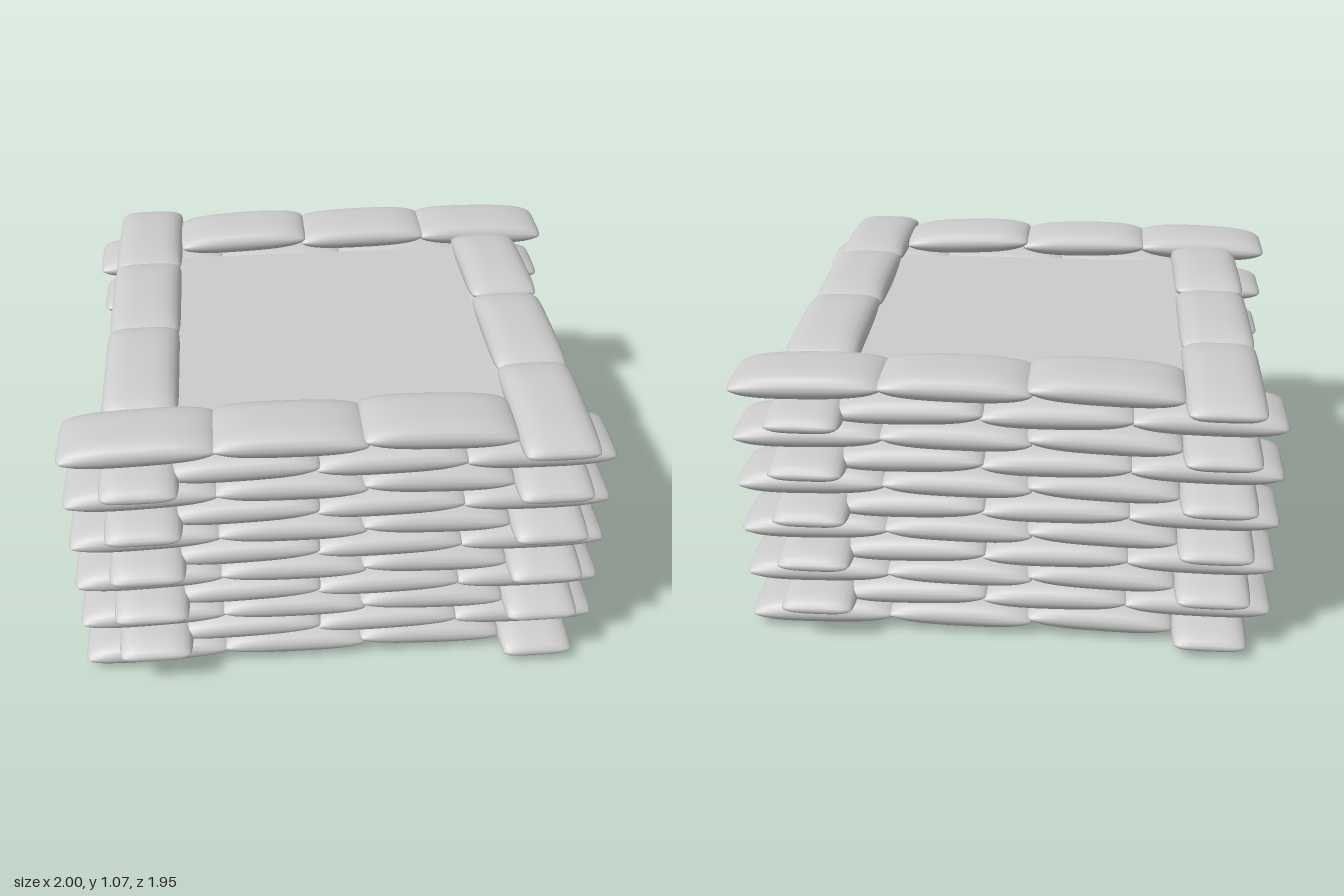
import * as THREE from 'three';
import { mergeGeometries, mergeVertices } from 'three/addons/utils/BufferGeometryUtils.js';

const LENGTH = 0.55, WIDTH = 0.275, THICK = 0.112, PITCH = 0.522;

// One half of the pillow: a grid bulged upward, with rounded corners in plan
function halfBag(sign) {
  const g = new THREE.PlaneGeometry(2, 2, 18, 12);
  g.rotateX(-sign * Math.PI / 2);
  g.deleteAttribute('uv');
  g.deleteAttribute('normal');
  const p = g.attributes.position;
  for (let i = 0; i < p.count; i++) {
    // denser spacing towards the rim
    const u = Math.sin(p.getX(i) * Math.PI / 2), v = Math.sin(p.getZ(i) * Math.PI / 2);
    const bulge = Math.sqrt(Math.max(0, 1 - Math.abs(u) ** 2.9) * Math.max(0, 1 - Math.abs(v) ** 3.6));
    p.setXYZ(i,
      u * (1 - 0.045 * v ** 8) * LENGTH / 2,
      sign * bulge * THICK / 2,
      v * (1 - 0.07 * u ** 8) * WIDTH / 2);
  }
  return g;
}

function bagGeometry() {
  const g = mergeVertices(mergeGeometries([halfBag(1), halfBag(-1)]), 1e-4);
  g.computeVertexNormals();
  return g;
}

// Each run: start point of the wall and heading (rotation about y)
const RUNS_EVEN = [
  { name: 'frontWall', x: -1.0, z: 0.74, turn: 0 },
  { name: 'rightWall', x: 0.72, z: 0.972, turn: Math.PI / 2 },
  { name: 'backWall', x: 0.997, z: -0.747, turn: Math.PI },
  { name: 'leftWall', x: -0.725, z: -0.975, turn: -Math.PI / 2 },
];
const RUNS_ODD = [
  { name: 'frontWall', x: 0.946, z: 0.74, turn: Math.PI },
  { name: 'rightWall', x: 0.72, z: -0.975, turn: -Math.PI / 2 },
  { name: 'backWall', x: -0.95, z: -0.747, turn: 0 },
  { name: 'leftWall', x: -0.725, z: 0.972, turn: Math.PI / 2 },
];
const TILTS = [0.028, -0.018, -0.04];
const LIFTS = [-0.004, 0.002, 0.004];

export function createModel() {
  const model = new THREE.Group();
  model.name = 'sandbagEnclosure';
  const material = new THREE.MeshStandardMaterial({ color: 0xcccccc });
  const bag = bagGeometry();

  // Courses of bags, the pinwheel direction alternating with each layer
  for (let layer = 0; layer < 11; layer++) {
    const course = new THREE.Group();
    course.name = `course${layer + 1}`;
    course.position.y = 0.064 + layer * 0.0945;
    for (const run of layer % 2 ? RUNS_ODD : RUNS_EVEN) {
      for (let i = 0; i < 3; i++) {
        const d = LENGTH / 2 + i * PITCH;
        const mesh = new THREE.Mesh(bag, material);
        mesh.name = `${run.name}Bag${i + 1}`;
        mesh.position.set(run.x + Math.cos(run.turn) * d, LIFTS[i], run.z - Math.sin(run.turn) * d);
        mesh.rotation.set(0, run.turn, TILTS[i] * (layer % 2 ? 0.6 : 1));
        course.add(mesh);
      }
    }
    model.add(course);
  }

  // Flat fill surface just below the rim
  const fillMaterial = new THREE.MeshStandardMaterial({ color: 0xcccccc, side: THREE.DoubleSide });
  const fill = new THREE.Mesh(new THREE.PlaneGeometry(1.26, 1.26), fillMaterial);
  fill.name = 'fillSurface';
  fill.rotation.x = -Math.PI / 2;
  fill.position.set(-0.003, 0.955, -0.003);
  model.add(fill);
  return model;
}
